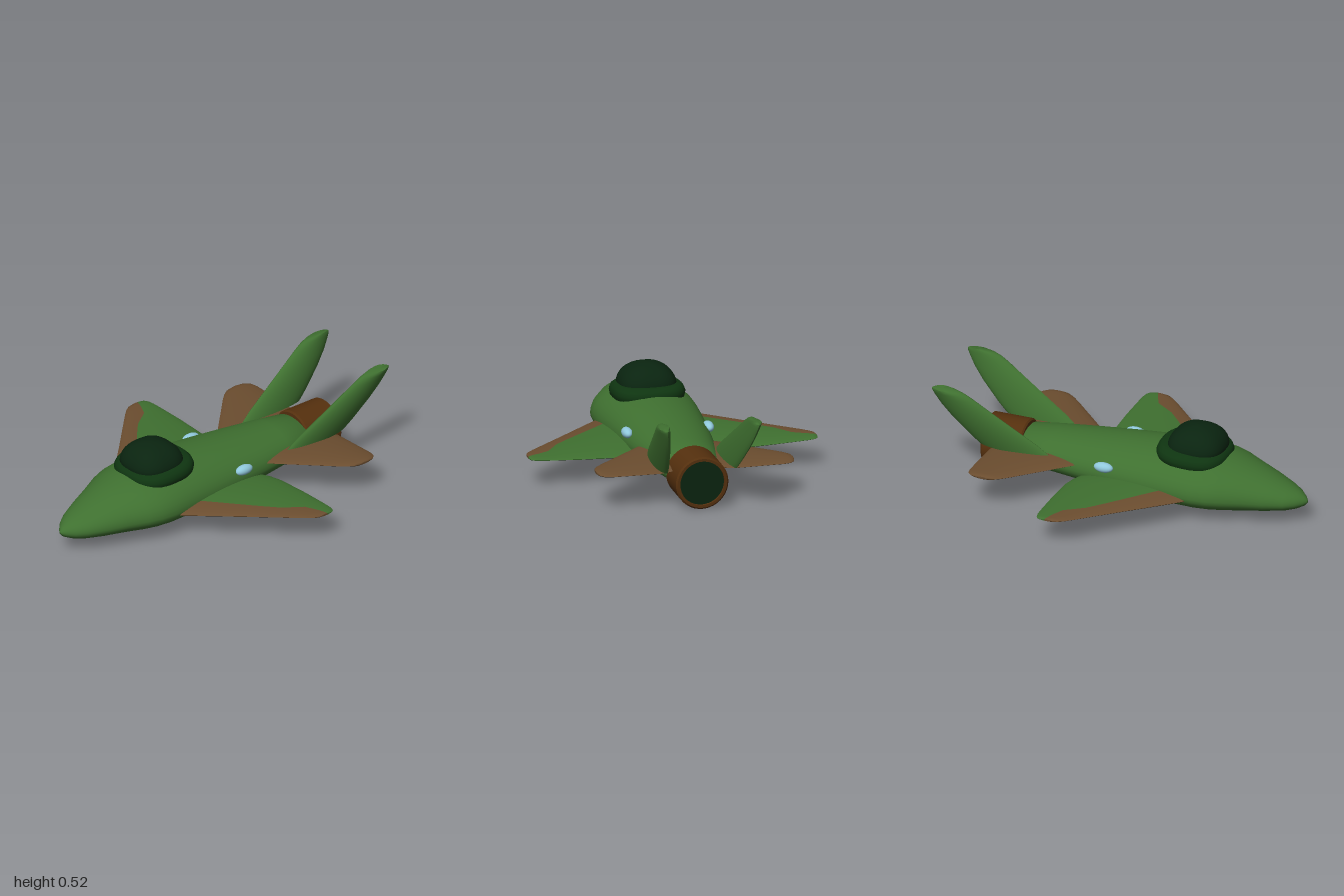
import * as THREE from 'three';
import { toCreasedNormals } from 'three/addons/utils/BufferGeometryUtils.js';

const mat = (name, color) => {
  const m = new THREE.MeshStandardMaterial({ color });
  m.name = name;
  return m;
};

// Skin a list of closed rings of points, cap both ends and face outwards.
function loft(rings, crease = 0) {
  const n = rings[0].length, pos = [], idx = [];
  rings.forEach(r => r.forEach(p => pos.push(...p)));
  for (let i = 0; i < rings.length - 1; i++) {
    for (let j = 0; j < n; j++) {
      const a = i * n + j, b = i * n + (j + 1) % n;
      idx.push(a, b, a + n, b, b + n, a + n);
    }
  }
  [0, rings.length - 1].forEach((k, side) => {
    const c = pos.length / 3;
    pos.push(...[0, 1, 2].map(d => rings[k].reduce((s, p) => s + p[d], 0) / n));
    for (let j = 0; j < n; j++) {
      const a = k * n + j, b = k * n + (j + 1) % n;
      idx.push(...(side ? [a, b, c] : [b, a, c]));
    }
  });
  // A negative enclosed volume means the faces point inwards
  const v = i => new THREE.Vector3(...pos.slice(i * 3, i * 3 + 3));
  let volume = 0;
  for (let i = 0; i < idx.length; i += 3) {
    volume += v(idx[i]).dot(v(idx[i + 1]).cross(v(idx[i + 2])));
  }
  if (volume < 0) idx.reverse();
  const geo = new THREE.BufferGeometry();
  geo.setAttribute('position', new THREE.Float32BufferAttribute(pos, 3));
  geo.setIndex(idx);
  geo.computeVertexNormals();
  return crease ? toCreasedNormals(geo, crease) : geo;
}

// Lens-shaped aerofoil; z0..z1 picks the part of the chord that is built.
// station: { s: span, le, te: chord ends, z0, z1, h: half thickness }
function aerofoil(stations, place) {
  const N = 12;
  return loft(stations.map(t => {
    const point = (k, sign) => {
      const f = (1 - Math.cos(Math.PI * k / N)) / 2;
      const z = t.z0 + (t.z1 - t.z0) * f;
      const u = Math.min(1, Math.max(0, (z - t.le) / (t.te - t.le)));
      return place(t.s, z, sign * t.h * Math.pow(Math.max(0, 4 * u * (1 - u)), 0.65));
    };
    const ring = [];
    for (let k = 0; k <= N; k++) ring.push(point(k, 1));
    for (let k = N - 1; k > 0; k--) ring.push(point(k, -1));
    return ring;
  }), 0.8);
}

// Rounded-square horizontal ring for the canopy
function squareRing(cz, r, y, tilt) {
  const ring = [], e = 2 / 2.6;
  for (let j = 0; j < 48; j++) {
    const a = j / 48 * Math.PI * 2, c = Math.cos(a), s = Math.sin(a);
    const dz = r * Math.sign(s) * Math.abs(s) ** e;
    ring.push([r * Math.sign(c) * Math.abs(c) ** e, y - dz * tilt, cz + dz]);
  }
  return ring;
}

export function createModel() {
  const green = mat('hull green', 0x3f7030);
  const brown = mat('camouflage brown', 0x6b4d2f);
  const engineBrown = mat('engine brown', 0x55300e);
  const rimGreen = mat('canopy rim green', 0x0f3511);
  const glass = mat('canopy dark green', 0x0a2410);
  const blue = mat('light blue', 0x90c8dc);

  const model = new THREE.Group();
  const add = (name, geo, material) => {
    const mesh = new THREE.Mesh(geo, material);
    mesh.name = name;
    model.add(mesh);
    return mesh;
  };

  // Fuselage: z, half width, top, bottom, height of the widest line
  const body = [
    [1, 0.008, 0.128, 0.112, 0.12], [0.985, 0.03, 0.146, 0.096, 0.12],
    [0.95, 0.068, 0.17, 0.08, 0.122], [0.9, 0.105, 0.192, 0.067, 0.125],
    [0.8, 0.152, 0.232, 0.055, 0.132], [0.7, 0.192, 0.266, 0.047, 0.14],
    [0.6, 0.24, 0.296, 0.041, 0.147], [0.53, 0.264, 0.309, 0.038, 0.15],
    [0.45, 0.274, 0.317, 0.036, 0.151], [0.35, 0.27, 0.321, 0.035, 0.152],
    [0.2, 0.257, 0.319, 0.035, 0.153], [0, 0.236, 0.305, 0.04, 0.155],
    [-0.2, 0.212, 0.288, 0.048, 0.157], [-0.4, 0.18, 0.271, 0.06, 0.16],
    [-0.585, 0.142, 0.252, 0.07, 0.16],
  ];
  add('fuselage', loft(body.map(([z, w, top, bottom, mid]) => {
    const ring = [];
    for (let j = 0; j < 40; j++) {
      const a = j / 40 * Math.PI * 2, s = Math.sin(a);
      ring.push([w * Math.cos(a), mid + s * (s > 0 ? top - mid : mid - bottom), z]);
    }
    return ring;
  })), green);

  // Canopy rim and dome
  const rim = [[0.25, 0.17], [0.28, 0.188], [0.305, 0.192], [0.328, 0.183], [0.342, 0.165], [0.346, 0.13]];
  add('canopyRim', loft(rim.map(([y, r]) => squareRing(0.373, r, y, 0.05))), rimGreen);
  const dome = [squareRing(0.39, 0.145, 0.31, 0)];
  for (let i = 0; i <= 10; i++) {
    const a = i / 10 * 1.54;
    dome.push(squareRing(0.39, 0.152 * Math.cos(a), 0.335 + 0.115 * Math.sin(a), 0));
  }
  add('canopyDome', loft(dome), glass);

  // Engine nozzle with a recessed exhaust
  const nozzle = new THREE.LatheGeometry([
    [0.118, -0.75], [0.118, -0.775], [0.132, -0.775], [0.14, -0.767],
    [0.14, -0.563], [0.132, -0.555], [0, -0.555],
  ].map(p => new THREE.Vector2(...p)), 40).rotateX(Math.PI / 2);
  add('engineNozzle', toCreasedNormals(nozzle, 0.6), engineBrown).position.y = 0.143;
  add('exhaust', new THREE.CircleGeometry(0.12, 40).rotateY(Math.PI), glass).position.set(0, 0.143, -0.76);

  // Wings: span, leading edge, colour boundary, trailing edge, half thickness
  const wing = [
    [0.17, 0.52, 0.35, -0.17, 0.041], [0.25, 0.442, 0.285, -0.205, 0.038],
    [0.32, 0.373, 0.225, -0.219, 0.034], [0.5, 0.19, 0.072, -0.222, 0.024],
    [0.58, 0.11, 0, -0.22, 0.019], [0.65, 0.04, -0.1, -0.218, 0.015],
    [0.71, -0.02, -0.13, -0.215, 0.012], [0.745, -0.058, -0.143, -0.208, 0.01],
    [0.763, -0.085, -0.15, -0.196, 0.008], [0.769, -0.11, -0.154, -0.178, 0.005],
  ];
  // Tailplanes: span, leading edge, trailing edge, half thickness
  const tail = [
    [0.08, -0.1, -0.65, 0.021], [0.2, -0.215, -0.695, 0.02], [0.46, -0.47, -0.7, 0.015],
    [0.495, -0.508, -0.692, 0.013], [0.517, -0.54, -0.668, 0.011], [0.525, -0.575, -0.635, 0.006],
  ];
  // Fins: height, leading edge, trailing edge, half thickness
  const fin = [
    [0.205, -0.37, -0.755, 0.032], [0.25, -0.427, -0.805, 0.034], [0.35, -0.582, -0.9, 0.034],
    [0.42, -0.69, -0.955, 0.032], [0.47, -0.766, -0.985, 0.03], [0.495, -0.81, -0.998, 0.029],
    [0.508, -0.845, -1, 0.028], [0.514, -0.885, -0.99, 0.026],
  ];
  const whole = ([s, le, te, h]) => ({ s, le, te, z0: le, z1: te, h });

  for (const [side, sx] of [['left', 1], ['right', -1]]) {
    const wingPlace = (s, z, h) => [sx * s, 0.126 + 0.035 * s + h, z];
    add(side + 'WingEdge', aerofoil(wing.map(([s, le, mid, te, h]) =>
      ({ s, le, te, z0: le, z1: mid, h })), wingPlace), brown);
    add(side + 'WingPanel', aerofoil(wing.map(([s, le, mid, te, h]) =>
      ({ s, le, te, z0: mid, z1: te, h })), wingPlace), green);
    add(side + 'Tailplane', aerofoil(tail.map(whole),
      (s, z, h) => [sx * s, 0.184 + 0.015 * s + h, z]), brown);
    add(side + 'Fin', aerofoil(fin.map(whole),
      (s, z, h) => [sx * (0.193 + (s - 0.25) * 0.2 + h), s - 0.2 * h, z]), green);

    // Small light on the flank
    const light = add(side + 'Light', new THREE.SphereGeometry(1, 24, 16).scale(0.028, 0.027, 0.053), blue);
    light.position.set(sx * 0.217, 0.215, -0.052);
  }
  return model;
}
